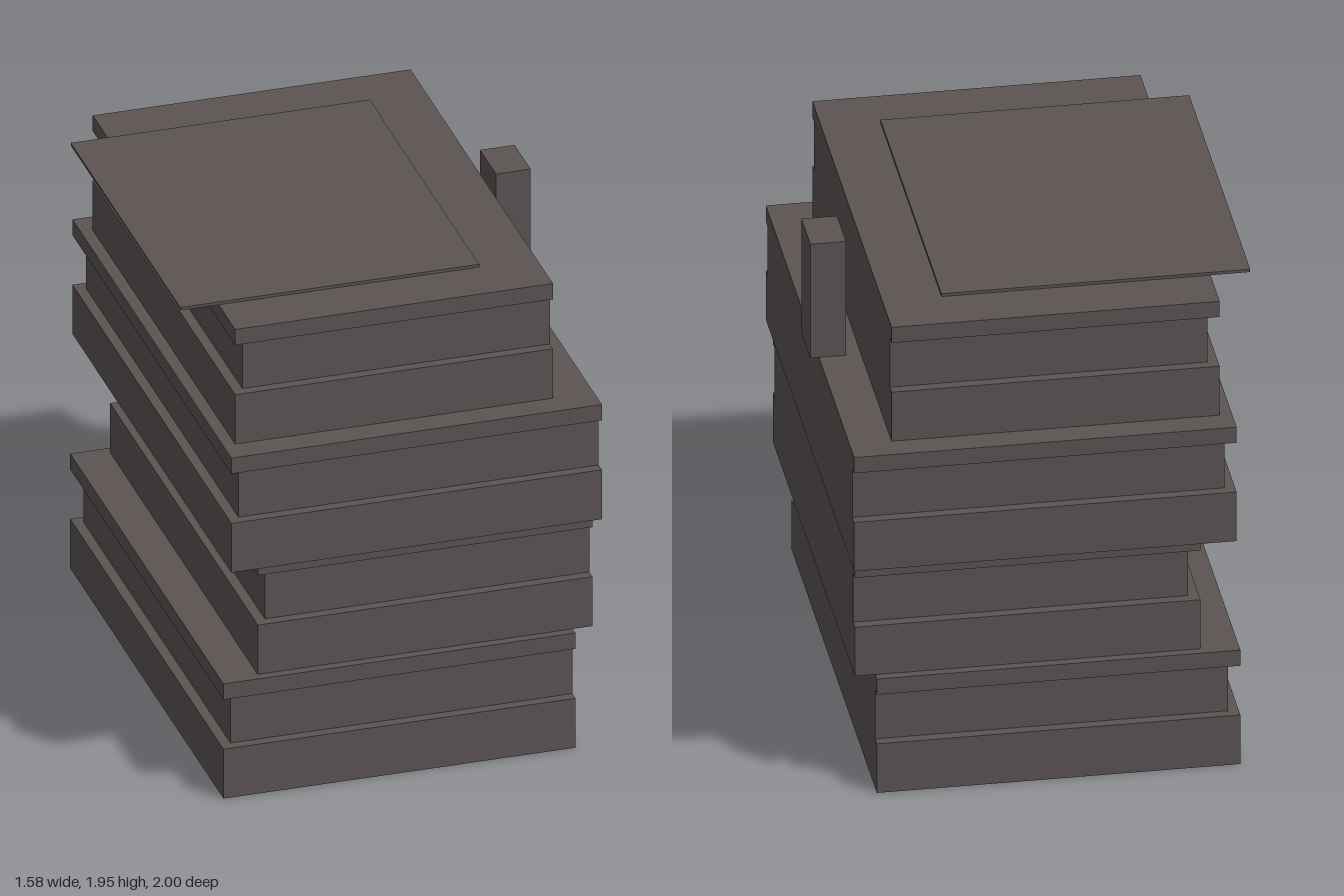
import * as THREE from 'three';

const material = new THREE.MeshStandardMaterial({ color: 0x5b5453 });

// Box given by its extents on each axis
function block(name, [x0, x1], [y0, y1], [z0, z1]) {
  const geometry = new THREE.BoxGeometry(x1 - x0, y1 - y0, z1 - z0);
  const mesh = new THREE.Mesh(geometry, material);
  mesh.name = name;
  mesh.position.set((x0 + x1) / 2, (y0 + y1) / 2, (z0 + z1) / 2);
  return mesh;
}

const BOOK_HEIGHT = 0.4833;
const INSET = 0.04;

// Thick lower cover, inset pages and thin upper cover, all flush at the +x side
function book(name, x0, x1, halfDepth) {
  const group = new THREE.Group();
  group.name = name;
  const z = [-halfDepth, halfDepth];
  const inner = halfDepth - INSET;
  group.add(
    block('lowerCover', [x0, x1], [0, 0.208], z),
    block('pages', [x0 + INSET, x1], [0.208, 0.417], [-inner, inner]),
    block('upperCover', [x0, x1], [0.417, BOOK_HEIGHT], z)
  );
  return group;
}

export function createModel() {
  const model = new THREE.Group();
  model.name = 'bookStack';

  // Books from bottom to top: left edge, right edge, half depth
  const books = [
    [-0.71, 0.665, 0.965],
    [-0.565, 0.742, 0.93],
    [-0.69, 0.757, 1],
    [-0.643, 0.598, 0.897],
  ];
  books.forEach(([x0, x1, halfDepth], i) => {
    const b = book(`book${i + 1}`, x0, x1, halfDepth);
    b.position.y = i * BOOK_HEIGHT;
    model.add(b);
  });

  // Thin sheet overhanging the top book
  const top = books.length * BOOK_HEIGHT;
  model.add(block('paperSheet', [-0.793, 0.375], [top, top + 0.012], [-0.69, 0.69]));

  // Upright post standing on the third book
  model.add(block('post', [0.655, 0.79], [3 * BOOK_HEIGHT, top], [-0.205, -0.003]));

  return model;
}
